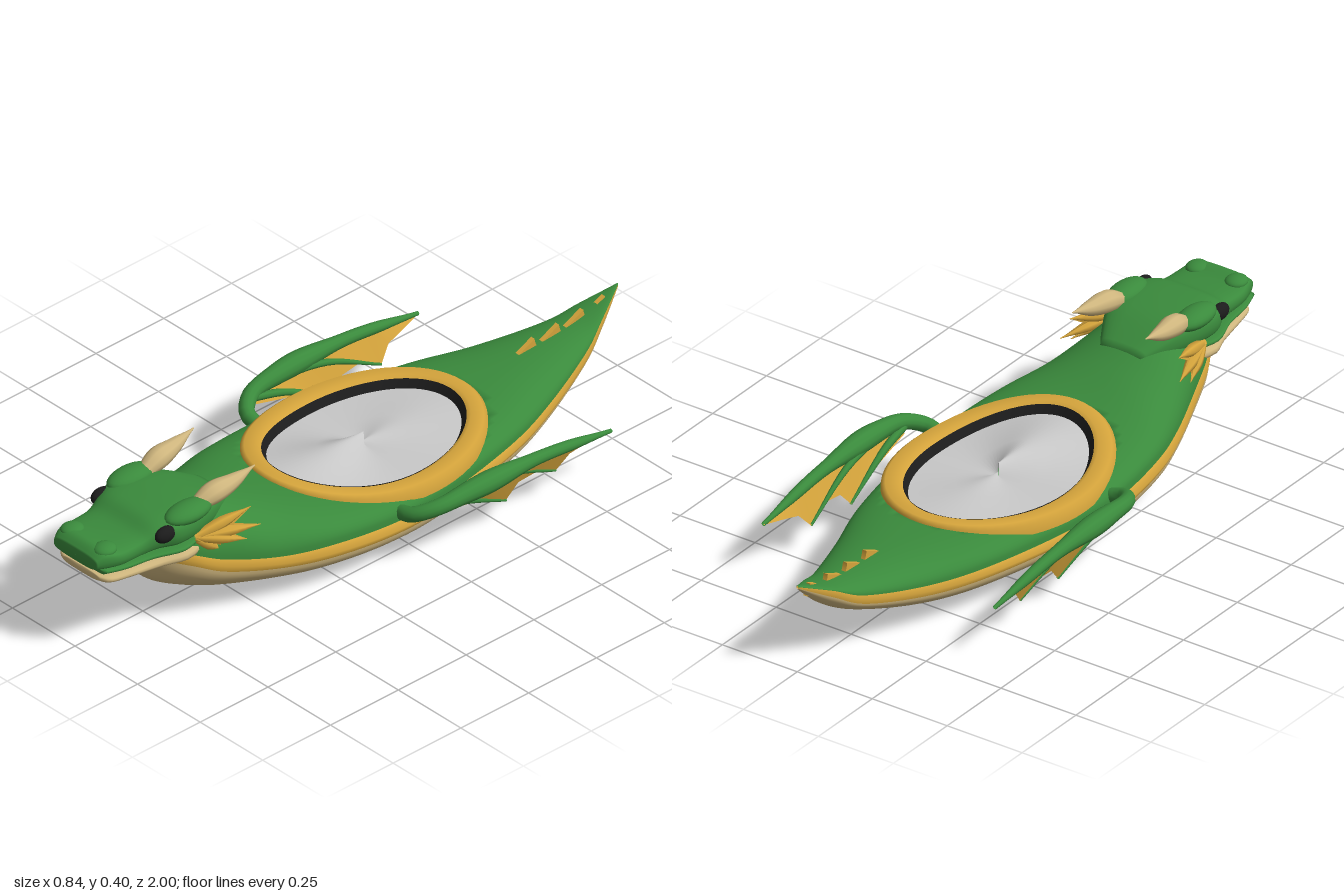
import * as THREE from 'three';
import { mergeVertices } from 'three/addons/utils/BufferGeometryUtils.js';

const mat = (name, color) => {
  const m = new THREE.MeshStandardMaterial({ color, side: THREE.DoubleSide });
  m.name = name;
  return m;
};
const V = (p) => new THREE.Vector3(...p);
const spow = (v, e) => Math.sign(v) * Math.abs(v) ** e;

// Smooth interpolation through table rows, t from 0 to 1
function sample(table, t) {
  const f = t * (table.length - 1), i = Math.min(Math.floor(f), table.length - 2), u = f - i;
  const row = (k) => table[Math.max(0, Math.min(table.length - 1, k))];
  const [a, b, c, d] = [row(i - 1), row(i), row(i + 1), row(i + 2)];
  return b.map((_, k) => b[k] + 0.5 * u * (c[k] - a[k] + u * (2 * a[k] - 5 * b[k] + 4 * c[k] - d[k]
    + u * (3 * (b[k] - c[k]) + d[k] - a[k]))));
}

// Surface through rows of points
function grid(rows) {
  const n = rows[0].length, index = [];
  for (let i = 0; i < rows.length - 1; i++) {
    for (let j = 0; j < n - 1; j++) {
      const a = i * n + j, b = a + n;
      index.push(a, b + 1, b, a, a + 1, b + 1);
    }
  }
  const g = new THREE.BufferGeometry();
  g.setAttribute('position', new THREE.Float32BufferAttribute(rows.flat(2), 3));
  g.setIndex(index);
  const merged = mergeVertices(g, 1e-5);
  merged.computeVertexNormals();
  return merged;
}

// Rounded box sections along z; table rows are [z, half width, bottom, top]
function loft(table, steps, e) {
  const rows = [];
  const ring = (z, w, y0, y1) => Array.from({ length: 29 }, (_, j) => {
    const a = (j % 28) / 28 * Math.PI * 2;
    return [w * spow(Math.cos(a), e), (y0 + y1) / 2 + (y1 - y0) / 2 * spow(Math.sin(a), e), z];
  });
  const cap = ([z, , y0, y1]) => ring(z, 0.001, (y0 + y1) / 2, (y0 + y1) / 2 + 0.001);
  rows.push(cap(table[0]));
  for (let i = 0; i <= steps; i++) rows.push(ring(...sample(table, i / steps)));
  rows.push(cap(table[table.length - 1]));
  return grid(rows);
}

// Tube whose radius follows a list of values
function taper(points, radii, sides = 10, seg = 20) {
  const path = new THREE.CatmullRomCurve3(points.map(V));
  const g = new THREE.TubeGeometry(path, seg, 1, sides);
  const pos = g.attributes.position, p = new THREE.Vector3();
  for (let i = 0; i < pos.count; i++) {
    const t = Math.floor(i / (sides + 1)) / seg, c = path.getPointAt(t);
    p.fromBufferAttribute(pos, i).sub(c).multiplyScalar(sample(radii.map((r) => [r]), t)[0]).add(c);
    pos.setXYZ(i, p.x, p.y, p.z);
  }
  g.deleteAttribute('normal');
  g.deleteAttribute('uv');
  const m = mergeVertices(g, 1e-5);
  m.computeVertexNormals();
  return m;
}

export function createModel() {
  const root = new THREE.Group();
  const green = mat('green', 0x3a8a3c), gold = mat('gold', 0xd6a53c), tan = mat('tan', 0xcfb67e);
  const black = mat('black', 0x1c1c1c), grey = mat('grey', 0xc8c8c8);
  const add = (name, geo, m) => {
    const mesh = new THREE.Mesh(geo, m);
    mesh.name = name;
    root.add(mesh);
    return mesh;
  };

  // Hull stations: z, half width, keel, gunwale bottom, gunwale top, deck, deck roundness
  const hull = [
    [-1, 0.003, 0.262, 0.264, 0.268, 0.272, 1], [-0.9, 0.05, 0.172, 0.205, 0.225, 0.237, 1],
    [-0.8, 0.092, 0.115, 0.152, 0.178, 0.218, 1], [-0.6, 0.167, 0.05, 0.112, 0.142, 0.208, 0.9],
    [-0.4, 0.235, 0.022, 0.105, 0.135, 0.205, 0.75], [-0.1, 0.292, 0.004, 0.1, 0.13, 0.205, 0.65],
    [0.1, 0.3, 0.004, 0.1, 0.135, 0.21, 0.65], [0.3, 0.278, 0.014, 0.11, 0.147, 0.235, 0.75],
    [0.45, 0.235, 0.03, 0.122, 0.157, 0.282, 0.95], [0.6, 0.182, 0.055, 0.152, 0.19, 0.345, 1],
    [0.7, 0.15, 0.09, 0.2, 0.235, 0.35, 1], [0.76, 0.105, 0.125, 0.222, 0.25, 0.3, 1],
    [0.79, 0.05, 0.175, 0.225, 0.235, 0.245, 1], [0.795, 0.002, 0.21, 0.212, 0.214, 0.216, 1],
  ];
  const belly = [], deck = [], bands = { 1: [], '-1': [] };
  for (let i = 0; i <= 96; i++) {
    const [z, w, yb, ys, yg, yt, e] = sample(hull, i / 96);
    const arc = (a0, f) => Array.from({ length: 33 }, (_, j) => f(a0 + j / 32 * Math.PI));
    belly.push(arc(-Math.PI / 2, (a) => [w * Math.sin(a), ys - (ys - yb) * Math.max(0, Math.cos(a)), z]));
    deck.push(arc(0, (a) => {
      const x = w * 0.98 * spow(Math.cos(a), e);
      const y = yg + (yt - yg) * Math.max(0, Math.sin(a)) ** e;
      // The deck drops away inside the cockpit
      return [x, (x / 0.25) ** 2 + ((z + 0.065) / 0.34) ** 2 < 1 ? Math.min(y, 0.15) : y, z];
    }));
    for (const s of [1, -1]) {
      const strip = [[s * w, ys, z], [s * w * 1.03, (ys + yg) / 2, z], [s * w * 0.98, yg, z]];
      bands[s].push(s > 0 ? strip : strip.reverse());
    }
  }
  add('belly', grid(belly), tan);
  add('deck', grid(deck), green);
  add('leftGunwale', grid(bands[1]), gold);
  add('rightGunwale', grid(bands[-1]), gold);

  // Oval cockpit: raised rim, dark inner wall, pale floor
  const oval = (rx, rz, h) => Array.from({ length: 65 }, (_, j) => {
    const a = -(j % 64) / 64 * Math.PI * 2, c = Math.cos(a), s = Math.sin(a);
    return [rx * c, 0.207 - 0.015 * c * c + 0.028 * Math.max(0, s) ** 2 + h, -0.065 + rz * s];
  });
  add('cockpitRim', grid([oval(0.29, 0.376, -0.03), oval(0.287, 0.373, 0), oval(0.275, 0.362, 0.01),
    oval(0.235, 0.33, 0.01), oval(0.22, 0.317, 0)]), gold);
  add('cockpitWall', grid([oval(0.222, 0.319, 0.004), oval(0.207, 0.304, -0.022)]), black);
  add('cockpitFloor', grid([oval(0.208, 0.305, -0.02), oval(0.1, 0.15, -0.018), oval(0.001, 0.001, -0.018)]), grey);

  // Head and jaws
  add('head', loft([[0.5, 0.07, 0.25, 0.31], [0.6, 0.125, 0.27, 0.355], [0.68, 0.148, 0.272, 0.368],
    [0.75, 0.15, 0.272, 0.368], [0.8, 0.128, 0.273, 0.362], [0.85, 0.115, 0.274, 0.338],
    [0.92, 0.112, 0.275, 0.333], [0.97, 0.1, 0.277, 0.342], [1, 0.085, 0.284, 0.322]], 36, 0.6), green);
  add('upperLip', loft([[0.66, 0.14, 0.268, 0.288], [0.74, 0.16, 0.268, 0.286], [0.83, 0.132, 0.27, 0.286],
    [0.92, 0.12, 0.272, 0.288], [0.985, 0.1, 0.275, 0.29]], 16, 0.5), green);
  add('lowerJaw', loft([[0.62, 0.13, 0.225, 0.275], [0.72, 0.16, 0.225, 0.27], [0.8, 0.135, 0.226, 0.262],
    [0.9, 0.115, 0.23, 0.259], [0.96, 0.1, 0.233, 0.259], [0.98, 0.07, 0.238, 0.258]], 18, 0.65), tan);

  for (const s of [1, -1]) {
    const side = s > 0 ? 'left' : 'right';
    const at = (pts) => pts.map(([x, y, z]) => [s * x, y, z]);
    const ball = (name, p, r, m) => {
      const b = add(side + name, new THREE.SphereGeometry(1, 20, 14), m);
      b.position.set(s * p[0], p[1], p[2]);
      b.scale.set(...r);
    };
    ball('Brow', [0.115, 0.358, 0.69], [0.042, 0.028, 0.08], green);
    ball('Nostril', [0.065, 0.33, 0.95], [0.032, 0.017, 0.035], green);
    ball('Eye', [0.128, 0.333, 0.785], [0.02, 0.024, 0.035], black);
    add(side + 'Horn', taper(at([[0.105, 0.352, 0.66], [0.111, 0.373, 0.6], [0.117, 0.383, 0.53],
      [0.122, 0.403, 0.45]]), [0.02, 0.032, 0.021, 0.002]), tan);

    // Cheek frill: spikes joined by a web
    const hinge = [0.14, 0.285, 0.69];
    const tips = [[0.182, 0.33, 0.52], [0.2, 0.272, 0.5], [0.2, 0.247, 0.55], [0.165, 0.222, 0.61]];
    const edge = [];
    tips.forEach((tip, i) => {
      add(side + 'FrillSpike', taper(at([hinge, hinge.map((h, k) => (h + tip[k]) / 2), tip]),
        [0.012, 0.017, 0.001], 6, 8), gold);
      edge.push(tip);
      if (i < 3) edge.push(tip.map((v, k) => 0.35 * hinge[k] + 0.325 * (v + tips[i + 1][k])));
    });
    add(side + 'FrillWeb', grid([at(edge.map(() => hinge)), at(edge)]), gold);

    // Folded wing: arm, finger bones, scalloped membrane
    add(side + 'WingArm', taper(at([[0.28, 0.15, 0.06], [0.33, 0.165, 0.06], [0.372, 0.185, 0.01],
      [0.386, 0.196, -0.1], [0.388, 0.192, -0.35], [0.386, 0.155, -0.62]]),
    [0.022, 0.024, 0.032, 0.02, 0.016, 0.006], 12, 36), green);
    for (const [a, b, c] of [
      [[0.365, 0.185, 0.03], [0.358, 0.15, -0.1], [0.345, 0.068, -0.27]],
      [[0.38, 0.195, -0.06], [0.365, 0.17, -0.26], [0.348, 0.085, -0.45]],
    ]) add(side + 'WingFinger', taper(at([a, b, c]), [0.013, 0.01, 0.004], 8, 14), green);
    const lower = [[0.36, 0.155, 0], [0.352, 0.125, -0.13], [0.345, 0.068, -0.27], [0.352, 0.112, -0.31],
      [0.355, 0.118, -0.37], [0.348, 0.083, -0.45], [0.362, 0.128, -0.49], [0.37, 0.142, -0.55], [0.386, 0.152, -0.62]];
    const upper = lower.map(([, , z], i) => [0.386, 0.197 - 0.045 * (i / 8) ** 3, z * 0.9 - 0.062 * (i / 8)]);
    add(side + 'WingMembrane', grid([at(upper), at(lower)]), gold);
  }

  // Spikes along the tail
  for (const [z, y, h] of [[-0.61, 0.2, 0.036], [-0.7, 0.205, 0.036], [-0.79, 0.212, 0.036], [-0.87, 0.222, 0.034]]) {
    const shape = new THREE.Shape();
    shape.moveTo(0, 0);
    shape.quadraticCurveTo(0.05, h * 0.6, 0.078, h);
    shape.quadraticCurveTo(0.08, h * 0.5, 0.092, 0);
    const g = new THREE.ExtrudeGeometry(shape, { depth: 0.014, bevelEnabled: false });
    g.translate(0, 0, -0.007);
    g.rotateY(Math.PI / 2);
    add('tailSpike', g, gold).position.set(0, y, z);
  }
  return root;
}
